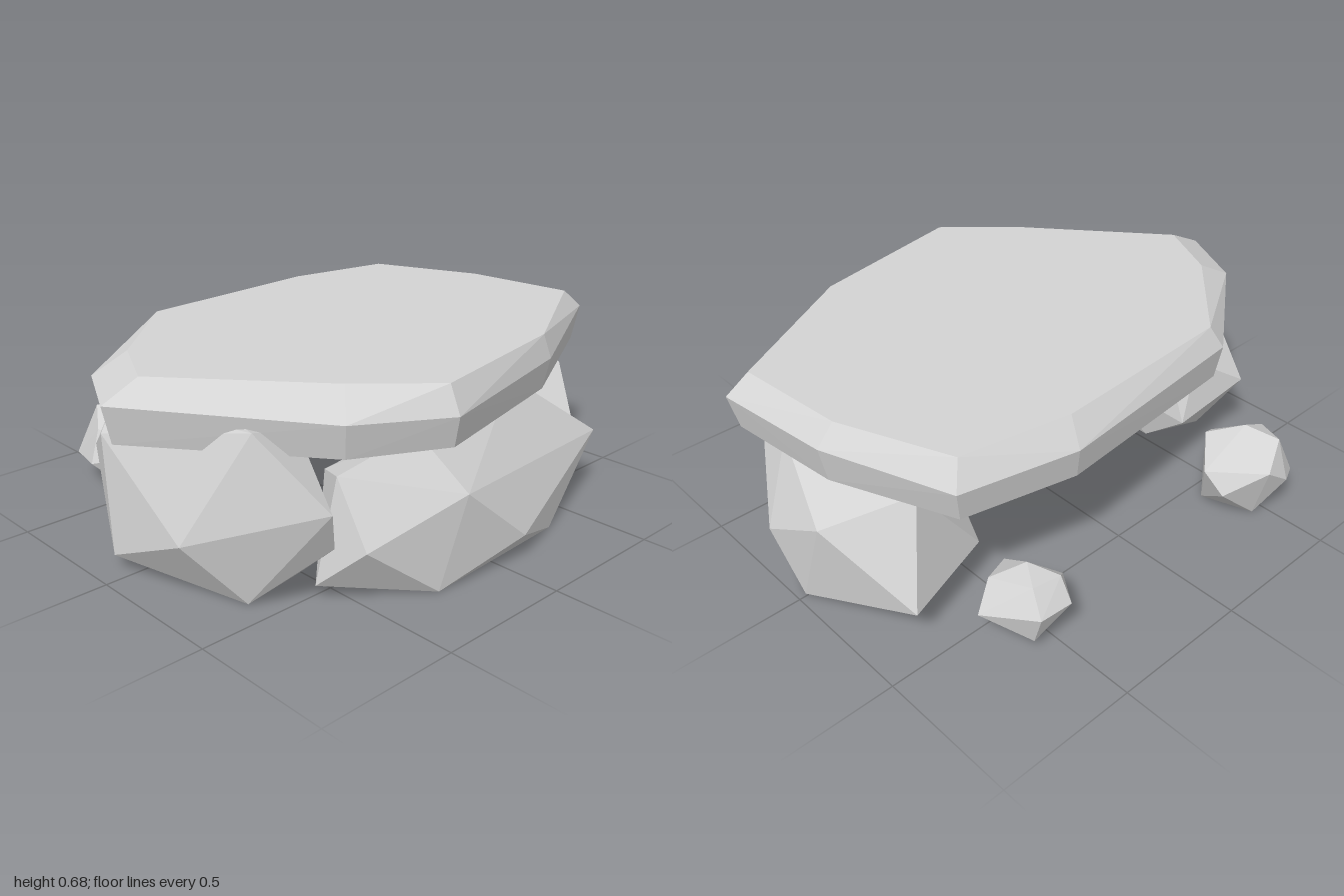
import * as THREE from 'three';
import { ConvexGeometry } from 'three/addons/geometries/ConvexGeometry.js';

const stone = new THREE.MeshStandardMaterial({ color: 0xd3d3d3 });
stone.name = 'grey stone';

// A faceted rock: the convex hull of a few corner points
function rock(name, corners) {
  const geometry = new ConvexGeometry(corners.map((c) => new THREE.Vector3(...c)));
  const mesh = new THREE.Mesh(geometry, stone);
  mesh.name = name;
  return mesh;
}

// Capstone: a rim outline [x, z, rim height, top x, top z]
function capstone() {
  const rim = [
    [-1.0, 0.05, 0.62, -0.87, 0.06], [-0.87, -0.21, 0.62, -0.75, -0.18],
    [-0.45, -0.53, 0.61, -0.42, -0.49], [0.32, -0.6, 0.6, 0.29, -0.53],
    [0.73, -0.51, 0.6, 0.68, -0.46], [0.91, -0.08, 0.62, 0.84, -0.07],
    [0.96, 0.36, 0.615, 0.88, 0.34], [0.38, 0.65, 0.6, 0.36, 0.63],
    [-0.25, 0.79, 0.595, -0.24, 0.74], [-0.56, 0.63, 0.605, -0.47, 0.53],
  ];
  const corners = [];
  for (const [x, z, y, topX, topZ] of rim) {
    corners.push([x * 0.97, 0.49, z * 0.97], [x, y, z], [topX, 0.685, topZ]);
  }
  return rock('capstone', corners);
}

export function createModel() {
  const model = new THREE.Group();
  model.name = 'stone table';
  model.add(capstone());

  // Supporting boulders
  model.add(rock('frontBoulder', [
    [-0.52, 0.41, 0.55], [-0.25, 0.5, 0.62], [0.36, 0.5, 0.5], [0.74, 0.23, 0.61],
    [0.08, 0.1, 0.81], [-0.18, 0.32, 0.78], [-0.52, 0.2, 0.68], [-0.59, 0.06, 0.53],
    [-0.27, 0.005, 0.75], [0.34, 0.005, 0.72], [0.68, 0.005, 0.52], [-0.4, 0.005, 0.45],
    [-0.43, 0.36, 0.4], [0.3, 0.42, 0.38], [0.52, 0.33, 0.44], [0.2, 0.1, 0.4],
  ]));
  model.add(rock('leftSupportBoulder', [
    [-0.926, 0.06, -0.06], [-0.91, 0.21, 0.28], [-0.87, 0.43, -0.18], [-0.75, 0.58, 0.44],
    [-0.64, 0.36, 0.66], [-0.585, 0.215, 0.61], [-0.75, 0.005, 0.4], [-0.52, 0.02, 0.38],
    [-0.74, 0.005, -0.24], [-0.5, 0.03, -0.18], [-0.75, 0.29, -0.42], [-0.49, 0.18, -0.36],
    [-0.55, 0.42, -0.35], [-0.74, 0.48, -0.3], [-0.5, 0.5, -0.22], [-0.5, 0.5, 0.35],
    [-0.42, 0.25, 0.1],
  ]));
  model.add(rock('rightSupportBoulder', [
    [1.0, 0.23, 0.13], [0.97, 0.36, -0.12], [0.84, 0.14, -0.43], [0.78, 0.1, 0.53],
    [0.97, 0.005, 0.01], [0.85, 0.41, 0.36], [0.86, 0.5, 0.2], [0.74, 0.5, -0.33],
    [0.68, 0.005, 0.37], [0.7, 0.005, -0.28], [0.54, 0.2, 0.36], [0.62, 0.5, 0.2],
    [0.42, 0.42, 0.0], [0.5, 0.5, -0.1], [0.5, 0.17, -0.33], [0.52, 0.1, 0.1],
  ]));

  // Loose stones behind
  model.add(rock('largeLooseStone', [
    [-0.53, 0.15, -0.81], [-0.43, 0.22, -0.8], [-0.31, 0.13, -0.7], [-0.3, 0.2, -0.62],
    [-0.55, 0.17, -0.45], [-0.67, 0.13, -0.6], [-0.63, 0.12, -0.76], [-0.5, 0.31, -0.63],
    [-0.42, 0.26, -0.52], [-0.54, 0.29, -0.75], [-0.62, 0.25, -0.62], [-0.45, 0.005, -0.74],
    [-0.38, 0.01, -0.56], [-0.55, 0.005, -0.52],
  ]));
  model.add(rock('smallLooseStone', [
    [0.47, 0.16, -0.73], [0.6, 0.17, -0.73], [0.69, 0.12, -0.54], [0.38, 0.14, -0.6],
    [0.46, 0.23, -0.67], [0.57, 0.24, -0.66], [0.51, 0.25, -0.57], [0.61, 0.2, -0.5],
    [0.48, 0.15, -0.43], [0.42, 0.06, -0.65], [0.59, 0.05, -0.69], [0.52, 0.005, -0.6],
    [0.6, 0.01, -0.51], [0.45, 0.02, -0.5],
  ]));
  return model;
}
